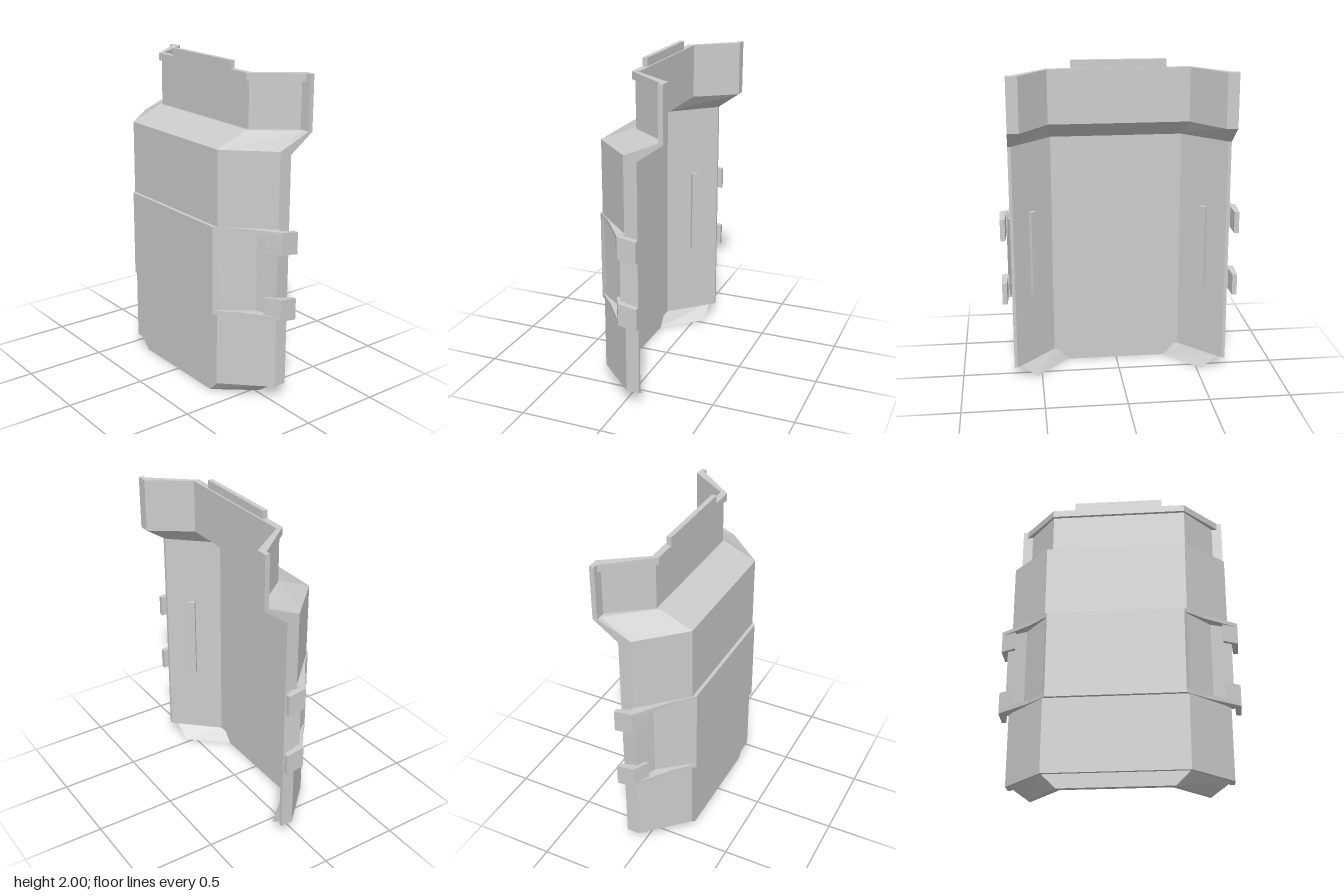
import * as THREE from 'three';

const material = new THREE.MeshStandardMaterial({ color: 0xcccccc, flatShading: true, side: THREE.DoubleSide });

// Mirror a half profile of [x, z] points into a full row from -x to +x.
const row = (half, y) => [
  ...half.map(([x, z]) => [-x, y, z]).reverse(),
  ...half.map(([x, z]) => [x, y, z]),
];

// Skin a wall through sections { y, front, back, yb }, listed from bottom to top.
function wall(name, sections) {
  const rings = sections.map(({ y, front, back, yb = y }) => [...row(front, y), ...row(back, yb).reverse()]);
  const pos = [];
  const quad = (a, b, c, d) => pos.push(...a, ...b, ...c, ...a, ...c, ...d);
  const n = rings[0].length;
  for (let s = 0; s < rings.length - 1; s++) {
    for (let i = 0; i < n; i++) {
      const j = (i + 1) % n;
      quad(rings[s][i], rings[s][j], rings[s + 1][j], rings[s + 1][i]);
    }
  }
  // End caps join the front row to the back row.
  const low = rings[0], top = rings[rings.length - 1];
  for (let i = 0; i < n / 2 - 1; i++) {
    const k = n - 1 - i;
    quad(top[i], top[i + 1], top[k - 1], top[k]);
    quad(low[k], low[k - 1], low[i + 1], low[i]);
  }
  const geo = new THREE.BufferGeometry();
  geo.setAttribute('position', new THREE.Float32BufferAttribute(pos, 3));
  geo.computeVertexNormals();
  const mesh = new THREE.Mesh(geo, material);
  mesh.name = name;
  return mesh;
}

function box(name, w, h, d, x, y, z) {
  const mesh = new THREE.Mesh(new THREE.BoxGeometry(w, h, d), material);
  mesh.name = name;
  mesh.position.set(x, y, z);
  return mesh;
}

// Hook-shaped clip on the outer edge, sloping down towards the back.
function clip(name, side, y, height) {
  const outline = [[0.735, 0], [0.735, -0.115], [0.705, -0.115], [0.697, -0.03], [0.66, -0.03], [0.64, 0.05]];
  const shape = new THREE.Shape(outline.map(([x, z]) => new THREE.Vector2(side * x, -z)));
  const geo = new THREE.ExtrudeGeometry(shape, { depth: height, bevelEnabled: false });
  geo.rotateX(-Math.PI / 2);
  const p = geo.attributes.position;
  for (let i = 0; i < p.count; i++) p.setY(i, p.getY(i) + y + Math.min(0, p.getZ(i)) * 0.15);
  geo.computeVertexNormals();
  const mesh = new THREE.Mesh(geo, material);
  mesh.name = name;
  return mesh;
}

export function createModel() {
  const model = new THREE.Group();
  model.name = 'shield';

  // Main plate with side pockets, sloped shoulder, recessed upper panel and top lip
  const front = [[0.43, 0.23], [0.57, 0.087], [0.675, -0.02]];
  const shoulder = [[0.43, 0.23], [0.645, 0.01], [0.675, -0.02]];
  const pocket = [[0.42, 0.235], [0.57, 0.05], [0.695, 0]];
  const lip = [[0.43, 0.03], [0.645, -0.225], [0.675, -0.225]];
  const recess = [[0.43, 0.01], [0.61, -0.225], [0.675, -0.225]];
  const back = [[0.41, 0.16], [0.655, -0.1], [0.675, -0.1]];
  const upperBack = [[0.43, -0.01], [0.605, -0.255], [0.675, -0.255]];
  model.add(wall('mainPlate', [
    { y: 0.085, front, back },
    { y: 0.565, front, back },
    { y: 0.565, front: pocket, back },
    { y: 1.06, front: pocket, back },
    { y: 1.06, front, back },
    { y: 1.54, yb: 1.51, front, back },
    { y: 1.54, yb: 1.51, front: shoulder, back },
    { y: 1.625, yb: 1.62, front: lip, back: upperBack },
    { y: 1.625, front: recess, back: upperBack },
    { y: 1.905, front: recess, back: upperBack },
    { y: 1.905, front: lip, back: upperBack },
    { y: 1.95, front: lip, back: upperBack },
  ]));

  // Tab on the top edge
  model.add(box('topTab', 0.57, 0.06, 0.03, 0, 1.97, 0.015));

  // Tapered skirt along the bottom
  model.add(wall('bottomSkirt', [
    { y: 0, front: [[0.34, 0.21], [0.53, -0.02]], back: [[0.32, 0.175], [0.53, -0.06]] },
    { y: 0.09, front: [[0.43, 0.21], [0.65, -0.02]], back: [[0.4, 0.175], [0.65, -0.065]] },
  ]));

  // Raised band across the middle, with fins closing the pockets above and below
  const band = { front: [[0.415, 0.252], [0.43, 0.225]], back: [[0.415, 0.2], [0.43, 0.2]] };
  model.add(wall('middleBand', [{ y: 0.54, ...band }, { y: 1.085, ...band }]));
  const fin = {
    front: [[0.415, 0.251], [0.53, 0.145], [0.733, 0]],
    back: [[0.41, 0.2], [0.53, 0.1], [0.675, -0.03]],
  };
  for (const [name, y] of [['lowerFin', 0.54], ['upperFin', 1.06]]) {
    model.add(wall(name, [{ y, ...fin }, { y: y + 0.025, ...fin }]));
  }

  // Edge clips and rear ridges, one set on each side
  for (const [label, side] of [['left', 1], ['right', -1]]) {
    model.add(clip(label + 'UpperClip', side, 0.95, 0.135));
    model.add(clip(label + 'LowerClip', side, 0.54, 0.135));
    const ridge = box(label + 'RearRidge', 0.045, 0.53, 0.04, side * 0.54, 0.81, 0.02);
    ridge.rotation.y = side * Math.PI / 4;
    model.add(ridge);
  }
  return model;
}
